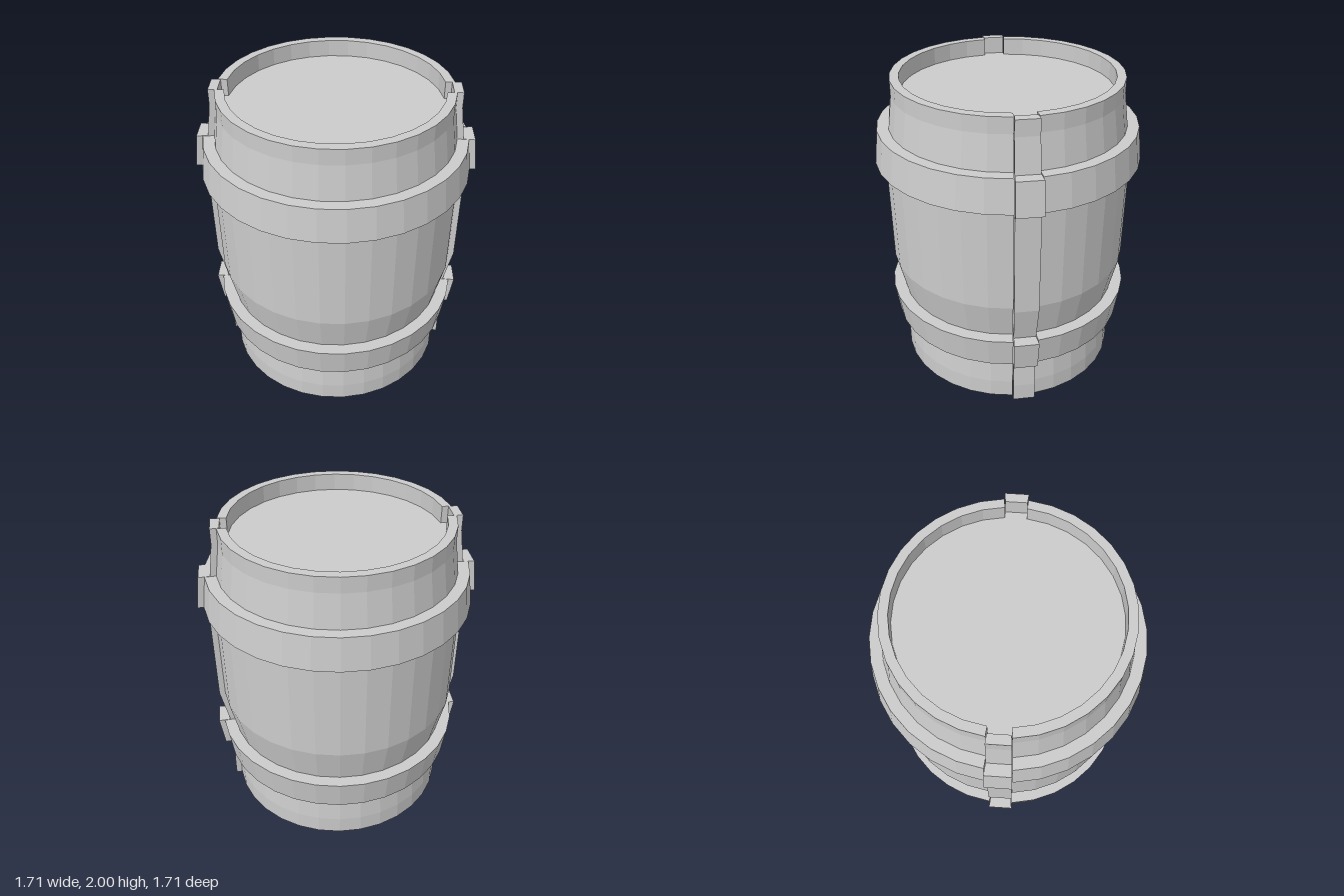
import * as THREE from 'three';
import { mergeGeometries } from 'three/addons/utils/BufferGeometryUtils.js';

const SIDES = 32;
const STEP = (Math.PI * 2) / SIDES;
const RIDGES = [3, 19];   // facets pushed outwards, on opposite sides
const RAISE = 0.04;       // how far the ridges stand out
const INNER = 0.67;       // inside radius of the wall

// Closed [radius, height] sections, counter-clockwise
const wall = [
  [INNER, 0], [0.728, 0], [0.728, 0.12], [0.71, 0.32], [0.73, 0.52], [0.785, 0.77],
  [0.79, 1.47], [0.757, 1.685], [0.728, 1.9], [0.728, 2], [INNER, 2],
];
const lowerHoop = [[0.69, 0.32], [0.78, 0.32], [0.81, 0.525], [0.7, 0.525]];
const upperHoop = [[0.76, 1.47], [0.855, 1.47], [0.83, 1.685], [0.73, 1.685]];

const material = new THREE.MeshStandardMaterial({ color: 0xcccccc, flatShading: true });

// Outward direction of a facet's middle
function facetNormal(i) {
  const a = (i + 0.5) * STEP;
  return new THREE.Vector3(Math.sin(a), 0, Math.cos(a));
}

// Flat end of a swept section at facet edge i
function cap(profile, i, flip) {
  const shape = new THREE.Shape(profile.map(([r, y]) => new THREE.Vector2(r, y)));
  const geo = new THREE.ShapeGeometry(shape);
  if (flip) geo.index.array.reverse();
  return geo.rotateY(i * STEP - Math.PI / 2);
}

// Section swept over some facets, with closed ends
function sector(profile, start, count) {
  const points = [...profile, profile[0]].map(([r, y]) => new THREE.Vector2(r, y));
  const parts = [
    new THREE.LatheGeometry(points, count, start * STEP, count * STEP),
    cap(profile, start, false),
    cap(profile, start + count, true),
  ].map((g) => g.toNonIndexed());
  const geo = mergeGeometries(parts);
  geo.computeVertexNormals();
  return geo;
}

// Full ring: two long arcs and two raised facets
function ring(name, profile) {
  const group = new THREE.Group();
  group.name = name;
  for (const i of RIDGES) {
    const arc = new THREE.Mesh(sector(profile, i + 1, SIDES / 2 - 1), material);
    arc.name = name + 'Arc';
    const ridge = new THREE.Mesh(sector(profile, i, 1), material);
    ridge.name = name + 'Ridge';
    ridge.position.copy(facetNormal(i)).multiplyScalar(RAISE);
    group.add(arc, ridge);
  }
  return group;
}

// Recessed end disc that fills the wall, including the ridge notches
function head(name, top) {
  const outline = [];
  for (let i = 0; i < SIDES; i++) {
    const p = new THREE.Vector2(Math.sin(i * STEP), Math.cos(i * STEP)).multiplyScalar(INNER);
    const shifted = (facet) => {
      const n = facetNormal(facet);
      return new THREE.Vector2(p.x + n.x * RAISE, p.y + n.z * RAISE);
    };
    if (RIDGES.includes(i)) outline.push(p, shifted(i));
    else if (RIDGES.includes(i - 1)) outline.push(shifted(i - 1), p);
    else outline.push(p);
  }
  const geo = new THREE.ExtrudeGeometry(new THREE.Shape(outline), { depth: 0.04, bevelEnabled: false });
  geo.rotateX(Math.PI / 2).translate(0, top, 0);
  const mesh = new THREE.Mesh(geo, material);
  mesh.name = name;
  return mesh;
}

export function createModel() {
  const barrel = new THREE.Group();
  barrel.name = 'barrel';
  barrel.add(
    ring('wall', wall),
    ring('lowerHoop', lowerHoop),
    ring('upperHoop', upperHoop),
    head('lid', 1.89),
    head('base', 0.15),
  );
  return barrel;
}
